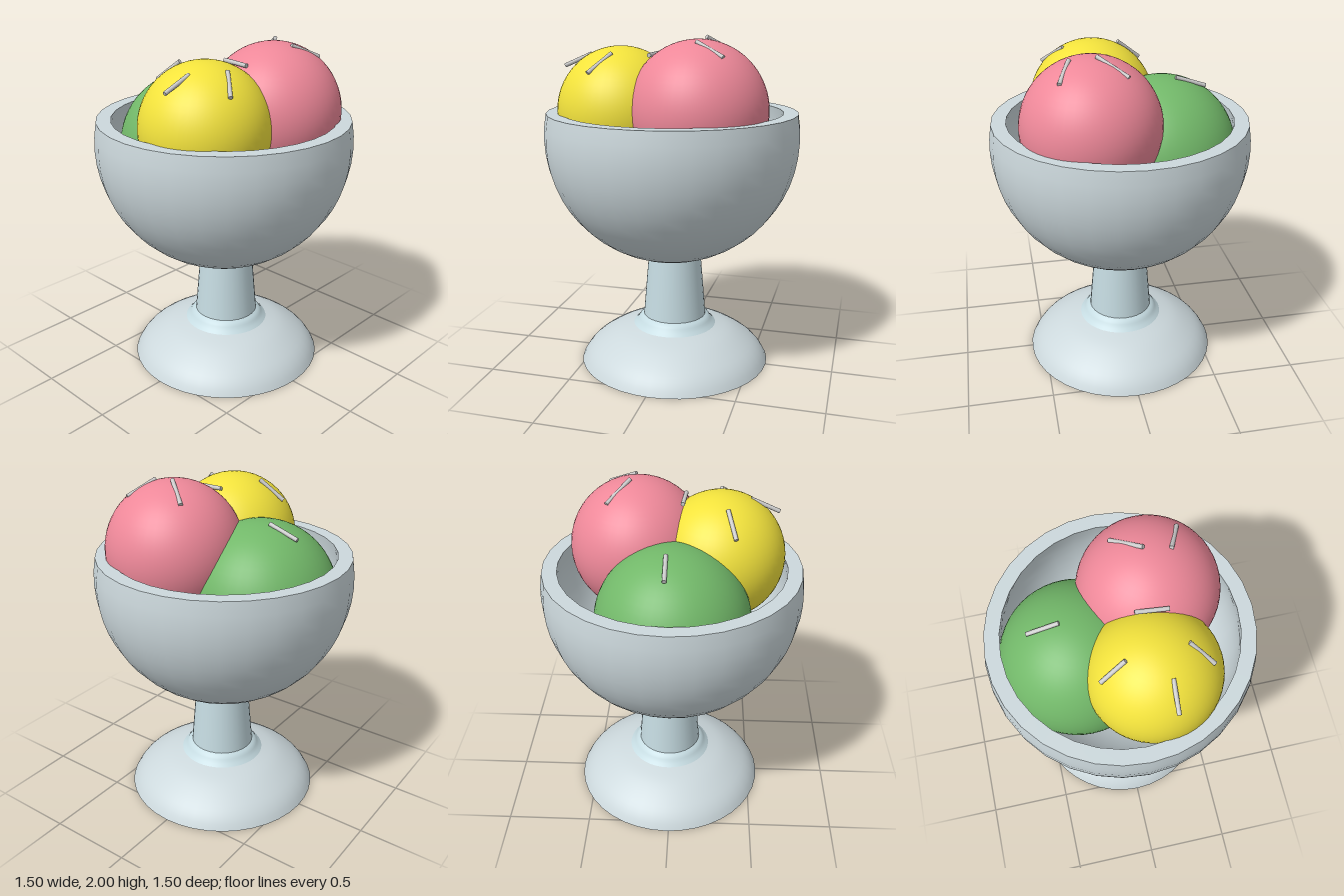
import * as THREE from 'three';

const V2 = (x, y) => new THREE.Vector2(x, y);
const mat = (color, side = THREE.FrontSide) => new THREE.MeshStandardMaterial({ color, side });

function add(parent, name, geometry, material, x = 0, y = 0, z = 0) {
  const mesh = new THREE.Mesh(geometry, material);
  mesh.name = name;
  mesh.position.set(x, y, z);
  parent.add(mesh);
  return mesh;
}

// Lathe points on a circle about the axis, between two heights
function arc(r, centre, yFrom, yTo, n) {
  const a = Math.asin((yFrom - centre) / r), b = Math.asin((yTo - centre) / r);
  return Array.from({ length: n + 1 }, (_, i) => {
    const t = a + (b - a) * i / n;
    return V2(Math.max(0, r * Math.cos(t)), centre + r * Math.sin(t));
  });
}

export function createModel() {
  const model = new THREE.Group();
  model.name = 'iceCreamSundae';
  const glass = mat(0xccd8dc, THREE.DoubleSide);
  const stemGlass = mat(0xc6dce2, THREE.DoubleSide);

  // Bowl: outer shell, flat rim and inner shell
  const bowl = new THREE.Group();
  bowl.name = 'bowl';
  model.add(bowl);
  const outer = arc(0.75, 1.4, 0.65, 1.55, 16);
  const inner = arc(0.667, 1.4, 1.55, 0.733, 16);
  add(bowl, 'bowlOuter', new THREE.LatheGeometry(outer, 32), glass);
  add(bowl, 'bowlRim', new THREE.LatheGeometry([outer[16], inner[0]], 32), glass);
  add(bowl, 'bowlInner', new THREE.LatheGeometry(inner, 32), glass);

  // Foot: hollow dome, collar and tapered stem
  const foot = new THREE.Group();
  foot.name = 'foot';
  foot.position.set(0.003, 0, -0.017);
  model.add(foot);
  const dome = new THREE.SplineCurve([
    V2(0.58, 0), V2(0.55, 0.052), V2(0.5, 0.105), V2(0.42, 0.16), V2(0.34, 0.2), V2(0.25, 0.227),
  ]).getPoints(14);
  add(foot, 'footDome', new THREE.LatheGeometry(dome, 40), glass);
  const collar = new THREE.SplineCurve([
    V2(0.255, 0.225), V2(0.232, 0.248), V2(0.213, 0.274), V2(0.19, 0.29),
  ]).getPoints(8);
  add(foot, 'collar', new THREE.LatheGeometry(collar, 40), stemGlass);
  add(foot, 'stem', new THREE.CylinderGeometry(0.158, 0.193, 0.42, 32), stemGlass, 0, 0.48, 0);

  // Scoops: name, colour, radius, centre
  const scoops = [
    ['pinkScoop', 0xee8899, 0.394, 0.197, 1.582, -0.202],
    ['yellowScoop', 0xf2e23c, 0.37, 0.12, 1.56, 0.272],
    ['greenScoop', 0x72b869, 0.437, -0.247, 1.332, 0.012],
  ];
  for (const [name, color, r, x, y, z] of scoops) {
    add(model, name, new THREE.SphereGeometry(r, 48, 32), mat(color), x, y, z);
  }

  // Sprinkles: both ends of each small rod
  const sprinkles = new THREE.Group();
  sprinkles.name = 'sprinkles';
  model.add(sprinkles);
  const grey = mat(0xcccccc);
  const ends = [
    [-0.49, 1.715, -0.02, -0.315, 1.773, -0.02],
    [0.02, 1.9, -0.36, 0.17, 1.985, -0.24],
    [0.38, 1.89, -0.375, 0.31, 1.965, -0.215],
    [0.06, 1.89, 0.055, 0.235, 1.885, 0.07],
    [-0.175, 1.795, 0.345, -0.04, 1.905, 0.3],
    [0.285, 1.895, 0.27, 0.4, 1.795, 0.37],
    [0.166, 1.885, 0.43, 0.16, 1.815, 0.595],
  ];
  const up = new THREE.Vector3(0, 1, 0);
  for (const [x1, y1, z1, x2, y2, z2] of ends) {
    const a = new THREE.Vector3(x1, y1, z1), b = new THREE.Vector3(x2, y2, z2);
    const dir = b.clone().sub(a);
    const rod = add(sprinkles, 'sprinkle', new THREE.CylinderGeometry(0.012, 0.012, dir.length(), 12), grey);
    rod.position.copy(a).add(b).multiplyScalar(0.5);
    rod.quaternion.setFromUnitVectors(up, dir.normalize());
  }

  return model;
}
